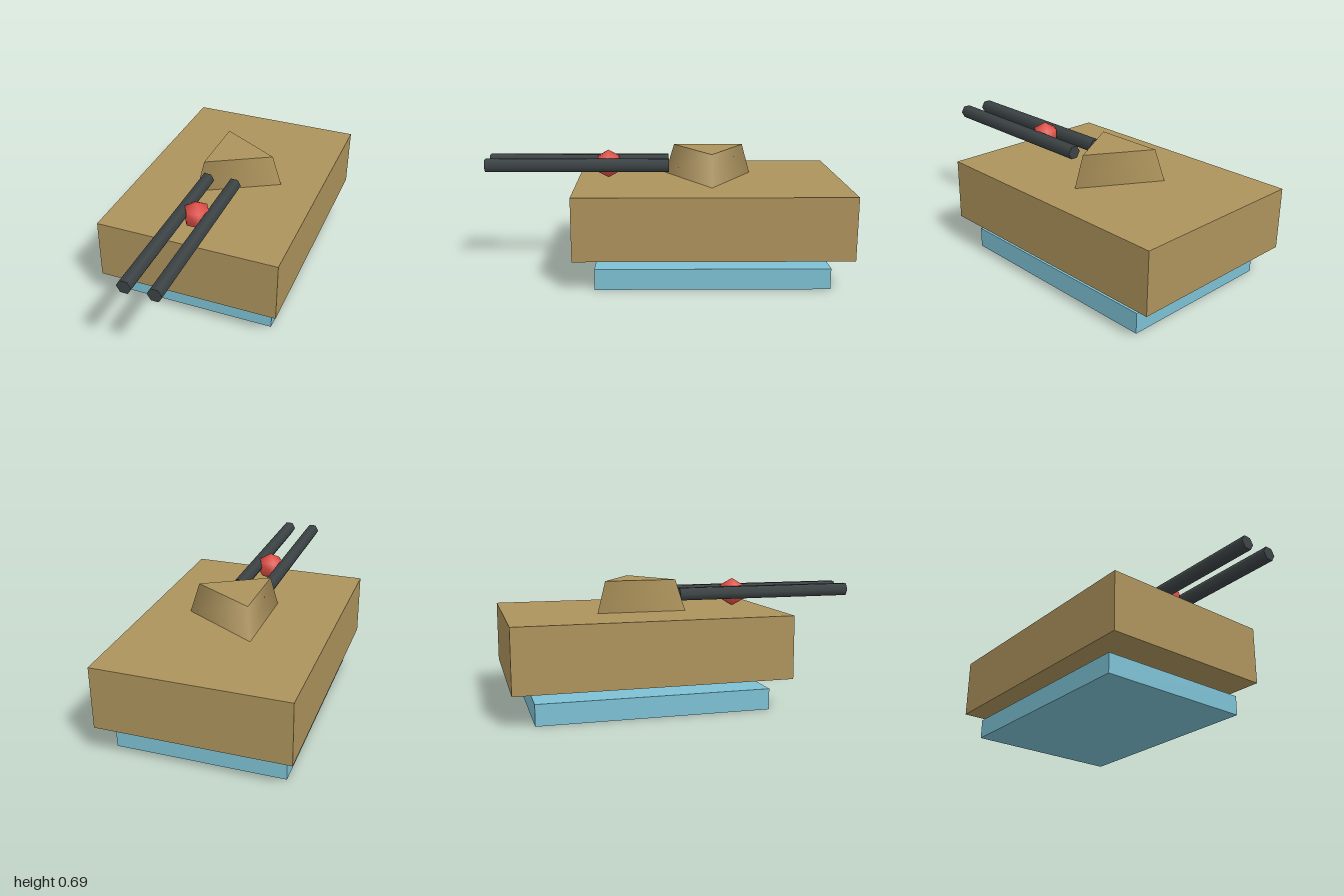
import * as THREE from 'three';

const paint = (name, color) => {
  const m = new THREE.MeshStandardMaterial({ color });
  m.name = name;
  return m;
};

export function createModel() {
  const tan = paint('tan', 0xad935c);
  const blue = paint('light blue', 0x7dc1d4);
  const red = paint('red', 0xe04f47);
  const dark = paint('dark grey', 0x3c4345);

  const model = new THREE.Group();
  const add = (name, geometry, material, x, y, z) => {
    const mesh = new THREE.Mesh(geometry, material);
    mesh.name = name;
    mesh.position.set(x, y, z);
    model.add(mesh);
  };

  // Floating base slab and hull
  add('base', new THREE.BoxGeometry(0.914, 0.114, 1.257), blue, 0, 0.057, -0.257);
  add('hull', new THREE.BoxGeometry(1.028, 0.343, 1.485), tan, 0, 0.3445, -0.2575);

  // Three-sided tapered turret with one corner towards +x
  add('turret', new THREE.CylinderGeometry(0.228, 0.285, 0.172, 3, 1, false, Math.PI / 2),
    tan, 0, 0.602, -0.258);

  // Pair of six-sided barrels, corners pointing sideways
  const barrel = new THREE.CylinderGeometry(0.04, 0.04, 1.029, 6, 1, false, Math.PI / 2);
  barrel.rotateX(Math.PI / 2);
  add('rightBarrel', barrel, dark, -0.08, 0.602, 0.4855);
  add('leftBarrel', barrel, dark, 0.08, 0.602, 0.4855);

  // Faceted ball between the barrels
  add('ball', new THREE.SphereGeometry(0.08, 6, 3), red, 0, 0.597, 0.315);

  return model;
}
